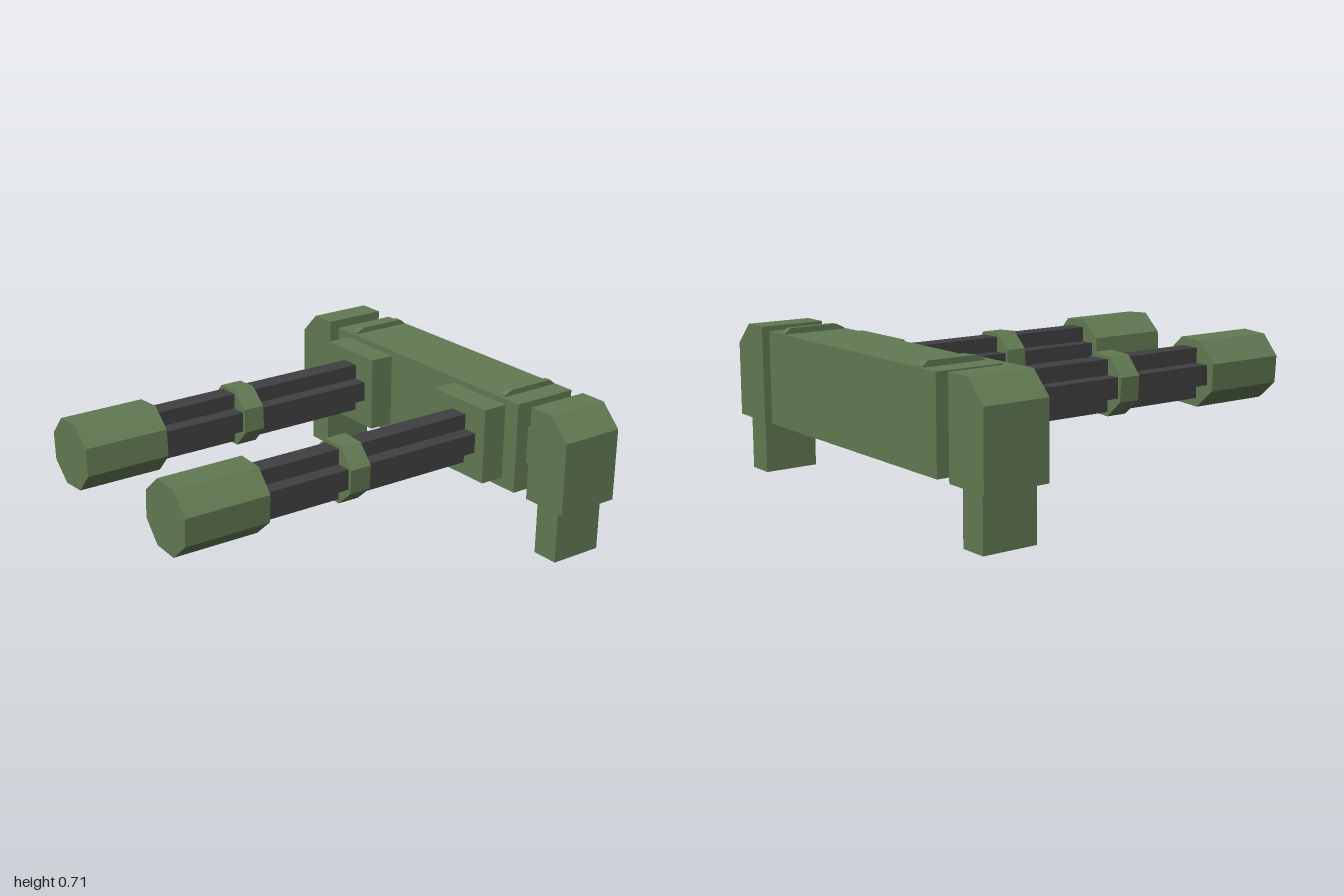
import * as THREE from 'three';

const green = new THREE.MeshStandardMaterial({ color: 0x627a53, flatShading: true });
const dark = new THREE.MeshStandardMaterial({ color: 0x404042, flatShading: true });

function add(parent, name, geometry, material = green) {
  const mesh = new THREE.Mesh(geometry, material);
  mesh.name = name;
  parent.add(mesh);
  return mesh;
}

// Box given by its limits on each axis
function box(x0, x1, y0, y1, z0, z1) {
  return new THREE.BoxGeometry(x1 - x0, y1 - y0, z1 - z0)
    .translate((x0 + x1) / 2, (y0 + y1) / 2, (z0 + z1) / 2);
}

// Outline in x and y, extruded from z0 to z1
function prism(points, z0, z1) {
  const shape = new THREE.Shape(points.map(([x, y]) => new THREE.Vector2(x, y)));
  return new THREE.ExtrudeGeometry(shape, { depth: z1 - z0, bevelEnabled: false }).translate(0, 0, z0);
}

// Slightly twisted octagonal sleeve along z, mirrored between the two sides
function octagon(radius, z0, z1, side) {
  const twist = THREE.MathUtils.degToRad(22.5 - side * 3.5);
  return new THREE.CylinderGeometry(radius, radius, z1 - z0, 8, 1, false, twist)
    .rotateX(Math.PI / 2)
    .translate(0, 0, (z0 + z1) / 2);
}

function createGun(side) {
  const gun = new THREE.Group();
  gun.name = side > 0 ? 'leftGun' : 'rightGun';
  gun.position.set(side * 0.413, 0.483, 0);

  add(gun, 'barrelMount', box(-0.178, 0.178, -0.178, 0.178, -0.69, -0.555));

  // Barrel with a plus-shaped section
  const a = 0.118, b = 0.047;
  const plus = [[b, -a], [b, -b], [a, -b], [a, b], [b, b], [b, a],
    [-b, a], [-b, b], [-a, b], [-a, -b], [-b, -b], [-b, -a]];
  add(gun, 'barrel', prism(plus, -0.56, 0.6), dark);

  add(gun, 'barrelCollar', octagon(0.146, 0.055, 0.16, side));
  add(gun, 'muzzle', octagon(0.167, 0.59, 1, side));
  return gun;
}

function createSupport(side) {
  const support = new THREE.Group();
  support.name = side > 0 ? 'leftSupport' : 'rightSupport';
  const span = (x0, x1, ...rest) =>
    side > 0 ? box(x0, x1, ...rest) : box(-x1, -x0, ...rest);

  add(support, 'connector', span(0.67, 0.76, 0.39, 0.563, -0.935, -0.742));

  // Pod with its outer top corner cut away
  let outline = [[0.753, 0.255], [0.983, 0.255], [0.983, 0.597], [0.882, 0.698], [0.753, 0.698]];
  if (side < 0) outline = outline.map(([x, y]) => [-x, y]).reverse();
  add(support, 'pod', prism(outline, -0.995, -0.68));

  add(support, 'leg', span(0.803, 0.935, 0, 0.26, -0.966, -0.705));

  // Thin rib on the housing roof with cut ends
  const rib = [[0.69, 0.68], [0.99, 0.68], [0.99, 0.695], [0.965, 0.714], [0.73, 0.714], [0.69, 0.695]];
  add(support, 'roofRib', prism(rib, -0.016, 0.016).rotateY(Math.PI / 2))
    .position.set(side * 0.553, 0, 0);
  return support;
}

export function createModel() {
  const model = new THREE.Group();
  model.name = 'twinGun';
  add(model, 'housing', box(-0.675, 0.675, 0.258, 0.688, -1, -0.675));
  for (const side of [1, -1]) model.add(createGun(side), createSupport(side));
  return model;
}
